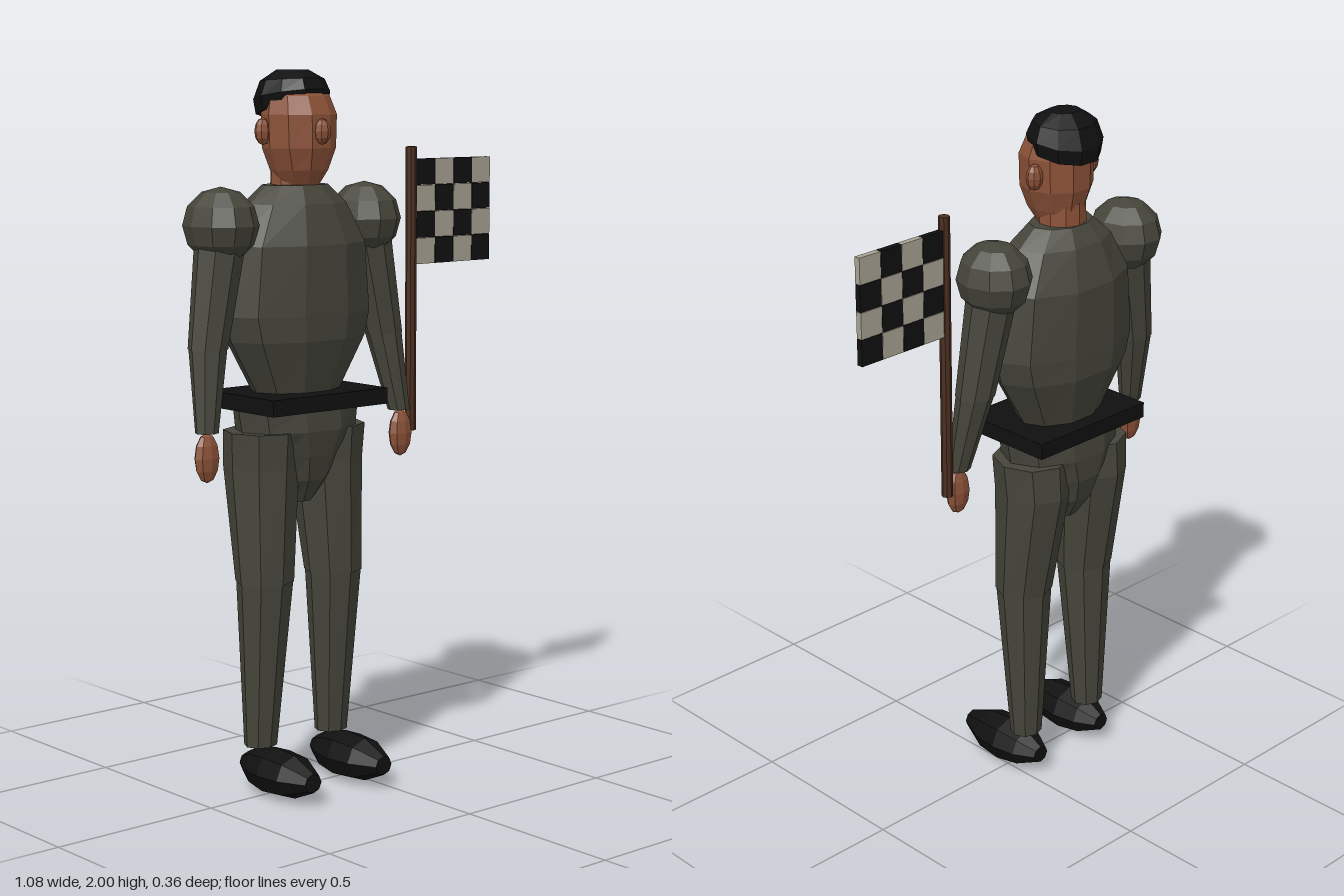
import * as THREE from 'three';

const mat = (name, color) => {
  const m = new THREE.MeshStandardMaterial({ color, flatShading: true });
  m.name = name;
  return m;
};

// Faceted loft through rings [y, cx, cz, rx, rz, tilt]; tilt raises the ring towards +z
function loft(rings, n = 10) {
  const pos = [], idx = [];
  for (const [y, cx, cz, rx, rz, tilt = 0] of rings) {
    for (let i = 0; i < n; i++) {
      const a = (i / n) * Math.PI * 2, z = Math.sin(a) * rz;
      pos.push(cx + Math.cos(a) * rx, y + z * tilt, cz + z);
    }
  }
  const last = rings.length - 1;
  for (let r = 0; r < last; r++) {
    for (let i = 0; i < n; i++) {
      const a = r * n + i, b = r * n + ((i + 1) % n);
      idx.push(a, a + n, b, b, a + n, b + n);
    }
  }
  // End caps
  for (const [r, top] of [[0, false], [last, true]]) {
    const [y, cx, cz] = rings[r], c = pos.length / 3;
    pos.push(cx, y, cz);
    for (let i = 0; i < n; i++) {
      const a = r * n + i, b = r * n + ((i + 1) % n);
      idx.push(c, top ? b : a, top ? a : b);
    }
  }
  const g = new THREE.BufferGeometry();
  g.setAttribute('position', new THREE.Float32BufferAttribute(pos, 3));
  g.setIndex(idx);
  const flat = g.toNonIndexed();
  flat.computeVertexNormals();
  return flat;
}

export function createModel() {
  const uniform = mat('uniform', 0x45453b);
  const skin = mat('skin', 0x8c5238);
  const black = mat('black', 0x101011);
  const white = mat('flagWhite', 0xa8a292);
  const wood = mat('poleWood', 0x4c2e20);

  const model = new THREE.Group();
  model.name = 'flagBearer';
  const body = new THREE.Group();
  body.name = 'body';
  body.position.x = -0.157;
  model.add(body);

  const add = (parent, name, geo, material, x = 0, y = 0, z = 0) => {
    const m = new THREE.Mesh(geo, material);
    m.name = name;
    m.position.set(x, y, z);
    parent.add(m);
    return m;
  };
  const ball = (rx, ry, rz, w = 8, h = 6) => new THREE.SphereGeometry(1, w, h).scale(rx, ry, rz);

  // Torso, belt and hips
  add(body, 'torso', loft([
    [1.12, 0, -0.045, 0.135, 0.095], [1.27, 0, -0.045, 0.225, 0.139],
    [1.34, 0, -0.045, 0.245, 0.142], [1.53, 0, -0.045, 0.225, 0.142],
    [1.64, 0, -0.045, 0.16, 0.11], [1.69, 0, -0.045, 0.1, 0.074],
  ]), uniform);
  add(body, 'belt', new THREE.BoxGeometry(0.41, 0.045, 0.29), black, 0, 1.103, -0.036);
  add(body, 'hips', loft([
    [0.815, 0, -0.05, 0.04, 0.055], [0.88, 0, -0.05, 0.09, 0.1],
    [0.95, 0, -0.05, 0.13, 0.12], [1.02, 0, -0.045, 0.19, 0.13],
    [1.09, 0, -0.045, 0.203, 0.126],
  ]), uniform);

  // Neck, head and hair
  add(body, 'neck', new THREE.CylinderGeometry(0.066, 0.07, 0.12, 10), skin, 0, 1.69, -0.048);
  add(body, 'head', loft([
    [1.69, 0, -0.03, 0.055, 0.06], [1.73, 0, -0.027, 0.078, 0.083],
    [1.79, 0, -0.027, 0.102, 0.1], [1.88, 0, -0.027, 0.106, 0.1],
    [1.93, 0, -0.035, 0.092, 0.085], [1.965, 0, -0.045, 0.055, 0.05],
  ]), skin);
  add(body, 'hair', loft([
    [1.892, 0, -0.058, 0.1, 0.095, 0.22], [1.93, 0, -0.057, 0.108, 0.101, 0.18],
    [1.972, 0, -0.055, 0.092, 0.083, 0.06], [2.0, 0, -0.054, 0.045, 0.04],
  ]), black);
  add(body, 'nose', ball(0.024, 0.035, 0.025), skin, 0, 1.835, 0.071);

  for (const s of [-1, 1]) {
    const side = s > 0 ? 'left' : 'right';
    add(body, side + 'Ear', ball(0.025, 0.037, 0.022), skin, s * 0.107, 1.835, -0.05);

    // Arm
    add(body, side + 'Shoulder', ball(0.1, 0.103, 0.11, 10, 6), uniform, s * 0.255, 1.588, -0.048);
    add(body, side + 'UpperArm', loft([
      [1.26, s * 0.314, -0.033, 0.055, 0.054], [1.56, s * 0.257, -0.046, 0.072, 0.07],
    ], 8), uniform);
    add(body, side + 'Forearm', loft([
      [1.04, s * 0.345, 0.0, 0.033, 0.03], [1.262, s * 0.314, -0.033, 0.053, 0.052],
    ], 8), uniform);
    add(body, side + 'Hand', ball(0.04, 0.068, 0.025), skin, s * 0.348, 0.973, 0.003);

    // Leg
    add(body, side + 'Thigh', loft([
      [0.6, s * 0.124, -0.032, 0.083, 0.08], [0.92, s * 0.115, -0.057, 0.1, 0.112],
      [1.02, s * 0.115, -0.05, 0.106, 0.112],
    ], 8), uniform);
    add(body, side + 'Shin', loft([
      [0.13, s * 0.129, -0.048, 0.048, 0.044], [0.605, s * 0.124, -0.032, 0.081, 0.078],
    ], 8), uniform);

    // Shoe: blunt ellipsoid lying along z
    const profile = [[0, -1], [0.38, -1], [0.82, -0.6], [1, -0.1], [0.9, 0.45], [0.4, 1], [0, 1]]
      .map(([x, y]) => new THREE.Vector2(x, y));
    const shoe = new THREE.LatheGeometry(profile, 8).rotateX(Math.PI / 2).scale(0.073, 0.068, 0.145);
    add(body, side + 'Shoe', shoe, black, s * 0.129, 0.069, 0.036);
  }

  // Chequered flag on a pole
  const flag = new THREE.Group();
  flag.name = 'flag';
  model.add(flag);
  add(flag, 'pole', new THREE.CylinderGeometry(0.016, 0.016, 0.81, 8), wood, 0.236, 1.38, -0.003);
  const cell = new THREE.BoxGeometry(0.0715, 0.0735, 0.018);
  for (let r = 0; r < 4; r++) {
    for (let c = 0; c < 4; c++) {
      add(flag, 'flagSquare', cell, (r + c) % 2 ? white : black,
        0.286 + c * 0.0725, 1.713 - r * 0.075, -0.005);
    }
  }
  return model;
}
